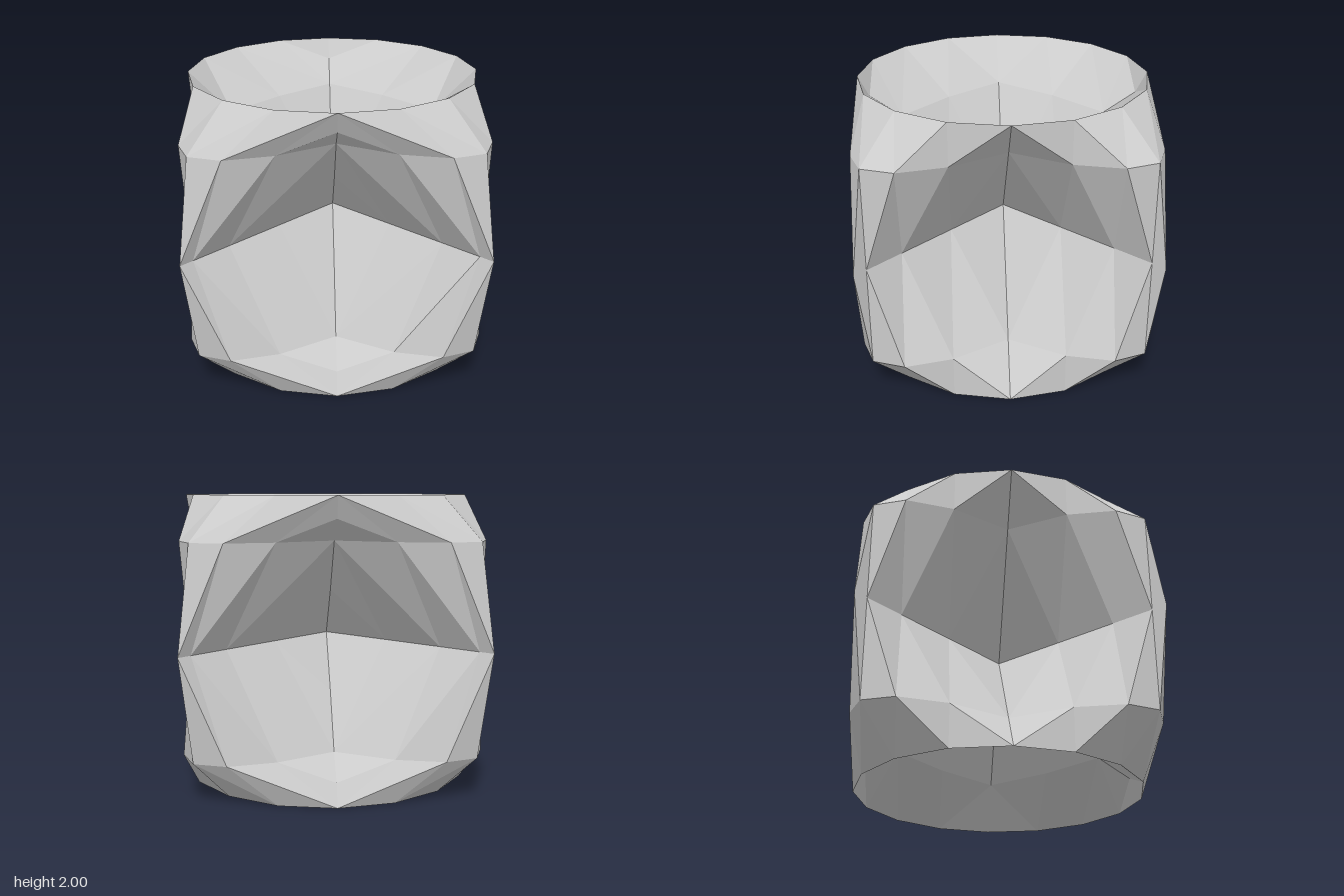
import * as THREE from 'three';
import { ParametricGeometry } from 'three/addons/geometries/ParametricGeometry.js';

// Sine surface: a torus folded through itself inside a cube,
// x = sin(s + t), z = sin(s - t), y = sin(2s)
function sineSurface(a, b, target) {
  const s = a * Math.PI * 2;
  const t = -b * Math.PI;
  target.set(Math.sin(s + t), 1 + Math.sin(2 * s), Math.sin(s - t));
}

export function createModel() {
  const group = new THREE.Group();
  group.name = 'sineSurfaceModel';

  // Coarse facets: 16 steps around by 8 across cover the surface once
  const surface = new THREE.Mesh(
    new ParametricGeometry(sineSurface, 16, 8),
    new THREE.MeshStandardMaterial({
      color: 0xcccccc,
      flatShading: true,
      side: THREE.DoubleSide,
    })
  );
  surface.name = 'foldedSurface';
  group.add(surface);
  return group;
}
